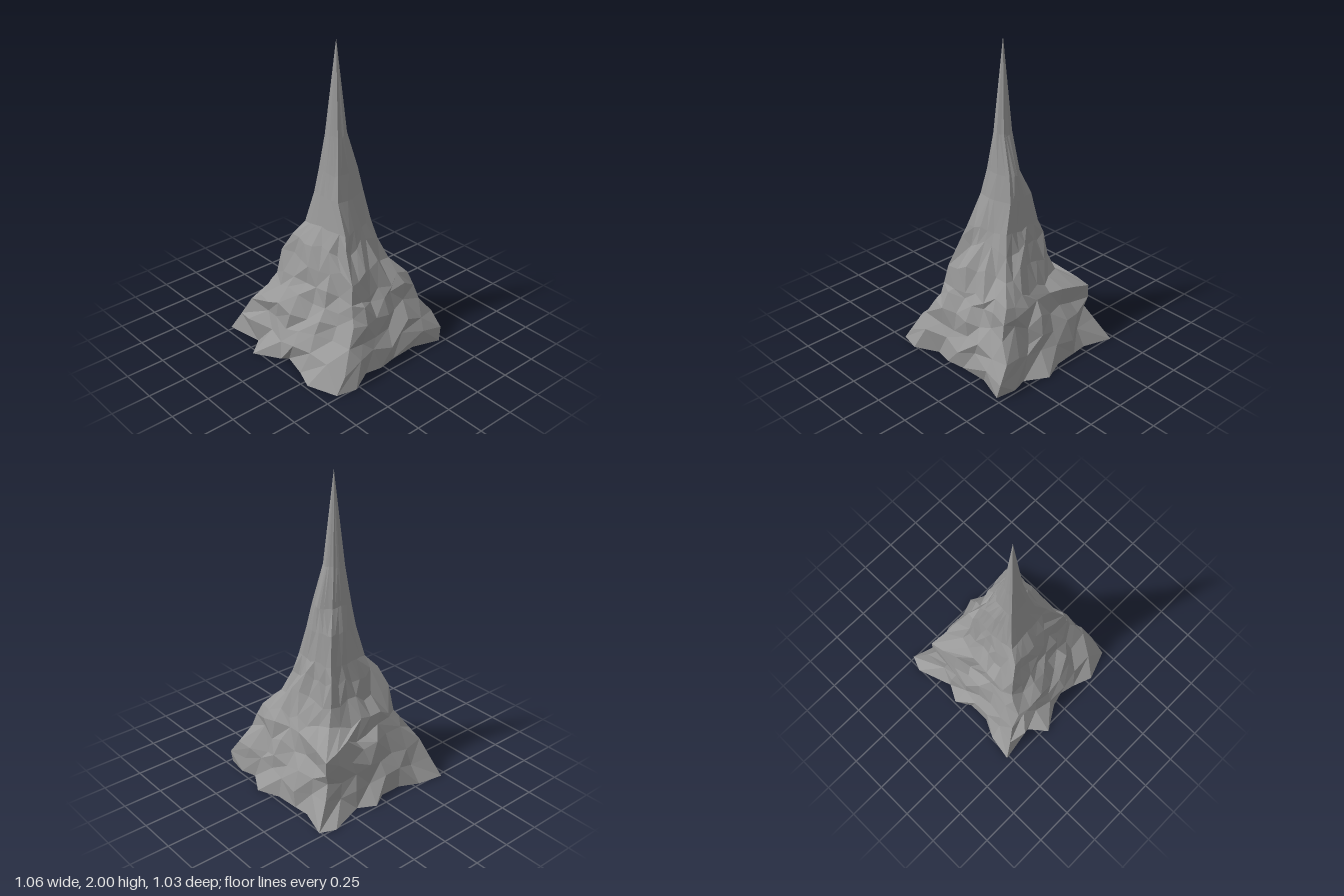
import * as THREE from 'three';

// foot outline, walked around as x, z pairs
const FOOT = [
  [-0.46, -0.52], [-0.29, -0.49], [-0.17, -0.43], [-0.03, -0.43], [0.07, -0.49], [0.18, -0.43], [0.41, -0.51],
  [0.51, -0.47], [0.45, -0.28], [0.46, -0.18], [0.47, -0.03], [0.53, 0.11], [0.45, 0.25], [0.48, 0.35],
  [0.46, 0.48], [0.28, 0.42], [0.1, 0.43], [-0.02, 0.45], [-0.13, 0.43], [-0.28, 0.51], [-0.41, 0.48],
  [-0.48, 0.29], [-0.43, 0.16], [-0.39, 0], [-0.43, -0.03], [-0.53, -0.19], [-0.42, -0.28],
];

// where the four ridges start in the foot outline
const RIDGES = [0, 7, 14, 20, 27];

// height, then for each side: its first ridge (x, z) and the reach of its middle
// sides run back, left, front, right
const LEVELS = [
  [0.12, -0.42, -0.45, -0.42, 0.41, -0.41, 0.46, 0.48, 0.47, 0.44, -0.34, 0.47, -0.43],
  [0.22, -0.38, -0.39, -0.4, 0.36, -0.37, 0.42, 0.46, 0.4, 0.41, -0.26, 0.42, -0.39],
  [0.33, -0.36, -0.31, -0.36, 0.38, -0.38, 0.38, 0.38, 0.36, 0.4, -0.2, 0.39, -0.36],
  [0.41, -0.29, -0.29, -0.33, 0.38, -0.38, 0.35, 0.36, 0.33, 0.34, -0.18, 0.36, -0.29],
  [0.48, -0.26, -0.27, -0.3, 0.23, -0.23, 0.31, 0.34, 0.29, 0.33, -0.17, 0.34, -0.25],
  [0.61, -0.24, -0.24, -0.23, 0.19, -0.2, 0.24, 0.25, 0.21, 0.28, -0.15, 0.32, -0.22],
  [0.74, -0.2, -0.18, -0.2, 0.17, -0.18, 0.2, 0.2, 0.16, 0.2, -0.12, 0.23, -0.18],
  [0.84, -0.13, -0.14, -0.16, 0.15, -0.15, 0.18, 0.17, 0.13, 0.16, -0.1, 0.2, -0.12],
  [1.03, -0.09, -0.1, -0.12, 0.12, -0.12, 0.15, 0.15, 0.08, 0.11, -0.08, 0.11, -0.09],
  [1.18, -0.07, -0.08, -0.08, 0.07, -0.07, 0.13, 0.12, 0.06, 0.08, -0.055, 0.08, -0.07],
  [1.42, -0.045, -0.05, -0.055, 0.035, -0.04, 0.06, 0.05, 0.04, 0.06, -0.03, 0.05, -0.045],
];

function seeded(seed) {
  return () => {
    seed = (seed * 16807) % 2147483647;
    return seed / 2147483647;
  };
}

// one ring: each side runs from ridge to middle to next ridge, then gets chipped
function makeRing([y, ...sides], rand) {
  const rough = y < 0.8 ? 1 : 0.3;
  const ring = [];
  for (let side = 0; side < 4; side++) {
    const steps = RIDGES[side + 1] - RIDGES[side];
    const next = ((side + 1) % 4) * 3;
    const start = new THREE.Vector3(sides[side * 3], y, sides[side * 3 + 1]);
    const end = new THREE.Vector3(sides[next], y, sides[next + 1]);
    const middle = start.clone().lerp(end, 0.5);
    middle[side % 2 ? 'x' : 'z'] = sides[side * 3 + 2];
    for (let j = 0; j < steps; j++) {
      const t = (2 * j) / steps;
      const p = t < 1 ? start.clone().lerp(middle, t) : middle.clone().lerp(end, t - 1);
      const s = j === 0 ? 1 : 1 + rough * (0.06 - 0.15 * rand());
      p.set(p.x * s, y + rough * 0.07 * (rand() - 0.5), p.z * s);
      ring.push(p);
    }
  }
  return ring;
}

function spireGeometry() {
  const rand = seeded(4711);
  const foot = FOOT.map(([x, z]) => new THREE.Vector3(x, 0, z));
  // slightly uneven underside
  const under = foot.map((p) => new THREE.Vector3(p.x * 0.5, 0.02 * rand(), p.z * 0.5));
  const rings = [under, foot, ...LEVELS.map((level) => makeRing(level, rand))];

  const positions = [];
  const tri = (...points) => points.forEach((p) => positions.push(p.x, p.y, p.z));
  const base = new THREE.Vector3(0, 0.01, 0);
  const tip = new THREE.Vector3(0, 2, 0);
  const top = rings[rings.length - 1];

  for (let j = 0; j < foot.length; j++) {
    const k = (j + 1) % foot.length;
    tri(base, under[j], under[k]);
    for (let i = 0; i < rings.length - 1; i++) {
      const a = rings[i][j], b = rings[i][k], c = rings[i + 1][j], d = rings[i + 1][k];
      // alternate the diagonals for a faceted look
      if (rand() < 0.5) {
        tri(a, c, b);
        tri(b, c, d);
      } else {
        tri(a, d, b);
        tri(a, c, d);
      }
    }
    tri(top[j], tip, top[k]);
  }

  const geometry = new THREE.BufferGeometry();
  geometry.setAttribute('position', new THREE.Float32BufferAttribute(positions, 3));
  geometry.computeVertexNormals();
  return geometry;
}

export function createModel() {
  const group = new THREE.Group();
  group.name = 'rockSpire';
  const stone = new THREE.MeshStandardMaterial({ color: 0x999999, flatShading: true, side: THREE.DoubleSide });
  const spire = new THREE.Mesh(spireGeometry(), stone);
  spire.name = 'spire';
  group.add(spire);
  return group;
}
